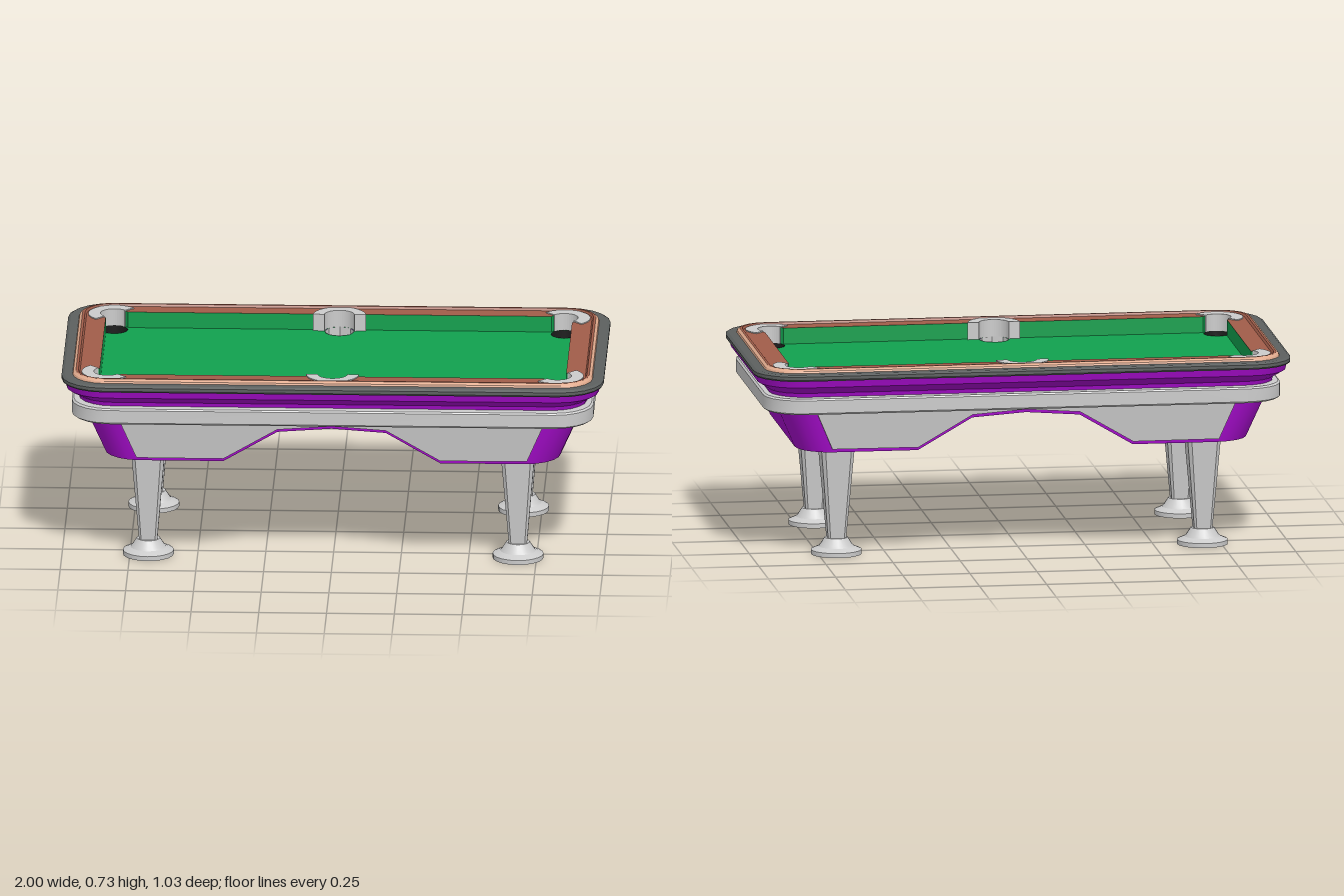
import * as THREE from 'three';
import { toCreasedNormals } from 'three/addons/utils/BufferGeometryUtils.js';

const paint = (color) => new THREE.MeshStandardMaterial({ color, side: THREE.DoubleSide });
const grey = paint(0xcccccc), purple = paint(0xa50ccb), green = paint(0x11a04e);
const wood = paint(0xa05c49), paleWood = paint(0xe0a98c), rubber = paint(0x5c605f), black = paint(0x1c1c1c);

const BED = 0.66, RAIL = 0.72, TOP = 0.56, BOTTOM = 0.41;
const ARCH = [0.4, 0.2, 0, -0.2, -0.4];

// Rounded rectangle as [x, z] points; extra x stations are added on the long sides
function outline(hx, hz, r, segs = 5, stations = []) {
  const pts = [];
  [[1, 1], [-1, 1], [-1, -1], [1, -1]].forEach(([sx, sz], q) => {
    for (let i = 0; i <= segs; i++) {
      const a = (q + i / segs) * Math.PI / 2;
      pts.push([sx * (hx - r) + r * Math.cos(a), sz * (hz - r) + r * Math.sin(a)]);
    }
    if (q === 0) stations.forEach((x) => pts.push([x, hz]));
    if (q === 2) stations.forEach((x) => pts.push([-x, -hz]));
  });
  return pts;
}

// Skin closed rings of [x, y, z] points, listed bottom to top
function loft(rings) {
  const n = rings[0].length, index = [];
  for (let i = 0; i < rings.length - 1; i++) {
    for (let j = 0; j < n; j++) {
      const a = i * n + j, b = i * n + (j + 1) % n;
      index.push(a, a + n, b, b, a + n, b + n);
    }
  }
  const g = new THREE.BufferGeometry();
  g.setAttribute('position', new THREE.Float32BufferAttribute(rings.flat(2), 3));
  g.setIndex(index);
  return toCreasedNormals(g, 0.45);
}

// Moulding from [halfX, halfZ, y, cornerRadius] steps
const moulding = (steps, segs = 5) => loft(steps.map(([hx, hz, y, r]) =>
  outline(hx, hz, r, segs).map(([x, z]) => [x, y, z])));

// Bottom edge of the skirt, raised in the middle of the long sides
function archY(x) {
  const a = Math.abs(x);
  if (a >= 0.4) return BOTTOM;
  return a > 0.2 ? BOTTOM + (0.4 - a) * 0.6 : 0.53 + (0.2 - a) * 0.075;
}

function skirtGeometry() {
  const ring = (inset, bottom) => {
    const up = outline(0.91 - inset, 0.468 - inset, 0.13 - inset, 5, ARCH);
    const low = outline(0.84 - inset, 0.448 - inset, 0.13 - inset, 5, ARCH);
    return up.map(([ux, uz], i) => {
      const [lx, lz] = low[i];
      const y = bottom ? archY(lx) : TOP + 0.01;
      const t = Math.min(1, (y - BOTTOM) / (TOP - BOTTOM));
      return [lx + (ux - lx) * t, y, lz + (uz - lz) * t];
    });
  };
  return loft([ring(0.025, false), ring(0.025, true), ring(0, true), ring(0, false)]);
}

// Panel that follows the arch and leans with the skirt
function panelGeometry() {
  const s = new THREE.Shape([[-0.78, 0.565], [-0.72, 0.424], ...ARCH.map((x) => [-x, archY(x) + 0.013]),
    [0.72, 0.424], [0.78, 0.565]].map(([x, y]) => new THREE.Vector2(x, y)));
  const g = new THREE.ExtrudeGeometry(s, { depth: 0.02, bevelEnabled: false });
  const p = g.attributes.position;
  for (let i = 0; i < p.count; i++) {
    p.setZ(i, p.getZ(i) + 0.44 + (p.getY(i) - BOTTOM) / (TOP - BOTTOM) * 0.02);
  }
  g.computeVertexNormals();
  return g;
}

// Six pockets, in order around the table
const POCKETS = [[1, 1], [0, 1], [-1, 1], [-1, -1], [0, -1], [1, -1]].map(([sx, sz]) => ({
  sx, sz, x: sx * 0.83, z: sz * (sx ? 0.355 : 0.36), r: sx ? 0.055 : 0.06,
}));

// Rail frame: its hole is the playing area with a bite at each pocket
function railGeometry() {
  const shape = new THREE.Shape(outline(0.935, 0.452, 0.09).map((p) => new THREE.Vector2(...p)));
  const hole = new THREE.Path();
  for (const { sx, sz, x, z, r } of POCKETS) {
    let from, to;
    if (sx) {
      from = Math.atan2(-0.046 * sz, 0.03 * sx);
      to = Math.atan2(0.025 * sz, -0.049 * sx);
      if (sx * sz < 0) [from, to] = [to, from];
    } else {
      from = Math.atan2(0.02 * sz, 0.0566 * sz);
      to = Math.atan2(0.02 * sz, -0.0566 * sz);
    }
    hole.absarc(x, z, r, from, to, false);
  }
  hole.closePath();
  shape.holes.push(hole);
  return new THREE.ExtrudeGeometry(shape, { depth: RAIL - BED, bevelEnabled: false, curveSegments: 10 })
    .rotateX(Math.PI / 2).translate(0, RAIL, 0);
}

// Playing surface with six round holes
function bedGeometry() {
  const shape = new THREE.Shape(outline(0.92, 0.44, 0.06).map((p) => new THREE.Vector2(...p)));
  for (const { x, z, r } of POCKETS) {
    shape.holes.push(new THREE.Path().absarc(x, z, r - 0.006, 0, Math.PI * 2, true));
  }
  return new THREE.ShapeGeometry(shape, 8).rotateX(-Math.PI / 2).translate(0, BED, 0);
}

// C-shaped pocket casting set into the rail
function castingGeometry({ sx, sz, x, z, r }) {
  const mid = Math.atan2(sz, sx), half = sx ? 1.6 : 1.5;
  const s = new THREE.Shape();
  s.absarc(x, z, sx ? 0.096 : 0.098, mid - half, mid + half, false);
  s.absarc(x, z, r - 0.004, mid + half, mid - half, true);
  s.closePath();
  return new THREE.ExtrudeGeometry(s, { depth: 0.064, bevelEnabled: false, curveSegments: 10 })
    .rotateX(Math.PI / 2).translate(0, 0.724, 0);
}

export function createModel() {
  const model = new THREE.Group();
  model.name = 'poolTable';
  const add = (name, geometry, material, parent = model) => {
    const m = new THREE.Mesh(geometry, material);
    m.name = name;
    parent.add(m);
    return m;
  };

  // Body
  add('skirt', skirtGeometry(), purple);
  const panel = panelGeometry();
  add('frontPanel', panel, grey);
  add('backPanel', panel, grey).rotation.y = Math.PI;
  add('underside', new THREE.ShapeGeometry(
    new THREE.Shape(outline(0.89, 0.452, 0.12).map((p) => new THREE.Vector2(...p))))
    .rotateX(Math.PI / 2).translate(0, 0.548, 0), wood);
  add('greyBand', moulding([[0.89, 0.455, 0.56, 0.13], [0.955, 0.488, 0.56, 0.14], [0.962, 0.492, 0.566, 0.14],
    [0.962, 0.492, 0.614, 0.14], [0.955, 0.488, 0.62, 0.14], [0.92, 0.45, 0.62, 0.13]]), grey);
  add('purpleApron', moulding([[0.935, 0.452, 0.615, 0.13], [0.94, 0.456, 0.635, 0.13],
    [0.982, 0.498, 0.664, 0.15], [0.988, 0.505, 0.692, 0.15]]), purple);

  // Top edge
  add('bumper', moulding([[0.975, 0.495, 0.688, 0.15], [0.996, 0.512, 0.69, 0.16], [1, 0.516, 0.696, 0.16],
    [1, 0.516, 0.708, 0.16], [0.99, 0.506, 0.714, 0.15], [0.95, 0.466, 0.714, 0.11]]), rubber);
  add('railLip', moulding([[0.96, 0.477, 0.712, 0.12], [0.957, 0.474, 0.721, 0.12],
    [0.947, 0.464, 0.728, 0.11]]), paleWood);
  add('railBead', moulding([[0.947, 0.464, 0.728, 0.11], [0.938, 0.455, 0.728, 0.1],
    [0.932, 0.449, RAIL, 0.09]]), wood);
  add('rails', railGeometry(), [wood, green]);
  add('playingSurface', bedGeometry(), green);

  // Pockets
  for (const p of POCKETS) {
    const pocket = new THREE.Group();
    pocket.name = p.sx ? 'cornerPocket' : 'sidePocket';
    model.add(pocket);
    add('pocketCasting', castingGeometry(p), grey, pocket);
    const r = p.r - 0.005;
    const cup = new THREE.LatheGeometry([[0, 0.6], [r, 0.6], [r, BED + 0.001]]
      .map((v) => new THREE.Vector2(...v)), p.sx ? 12 : 8);
    add('pocketCup', toCreasedNormals(cup, 0.6), p.sx ? black : grey, pocket).position.set(p.x, 0, p.z);
  }

  // Legs with round feet
  const legGeometry = moulding([[0.033, 0.033, 0.055, 0.008], [0.074, 0.074, 0.55, 0.016]], 1);
  const footGeometry = toCreasedNormals(new THREE.LatheGeometry(
    [[0, 0], [0.094, 0], [0.094, 0.017], [0.066, 0.029], [0.06, 0.036], [0.043, 0.062], [0, 0.062]]
      .map((v) => new THREE.Vector2(...v)), 20), 0.4);
  for (const sx of [-1, 1]) {
    for (const sz of [-1, 1]) {
      const leg = new THREE.Group();
      leg.name = (sz > 0 ? 'front' : 'back') + (sx > 0 ? 'Left' : 'Right') + 'Leg';
      leg.position.set(sx * 0.682, 0, sz * 0.292);
      add('post', legGeometry, grey, leg);
      add('foot', footGeometry, grey, leg);
      model.add(leg);
    }
  }
  return model;
}
